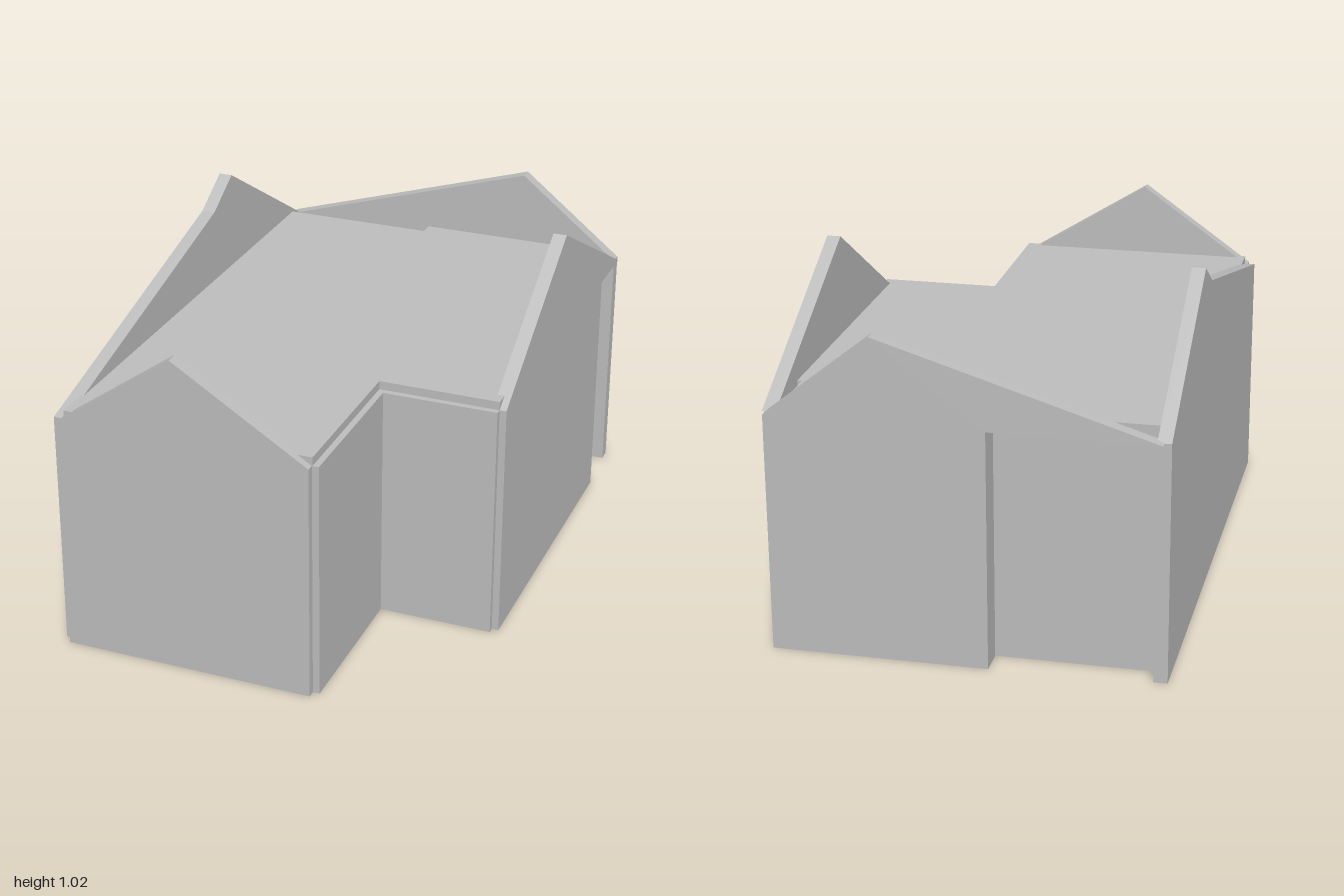
import * as THREE from 'three';

const EAVE = 0.705;

// Extrude a polygon given as [x, y] pairs
function extrude(points, depth) {
  const shape = new THREE.Shape(points.map(([x, y]) => new THREE.Vector2(x, y)));
  return new THREE.ExtrudeGeometry(shape, { depth, bevelEnabled: false });
}

export function createModel() {
  const model = new THREE.Group();
  const building = new THREE.Group();
  building.name = 'building';
  building.rotation.y = THREE.MathUtils.degToRad(25);
  model.add(building);

  const plaster = new THREE.MeshStandardMaterial({ color: 0xbcbcbc });
  plaster.name = 'grey plaster';

  function add(name, geometry) {
    const mesh = new THREE.Mesh(geometry, plaster);
    mesh.name = name;
    building.add(mesh);
  }
  // Wall running along x, profile in (x, y), from z0 to z1
  const wallAlongX = (name, profile, z0, z1) =>
    add(name, extrude(profile, z1 - z0).translate(0, 0, z0));
  // Wall running along z, profile in (z, y), from x0 to x1
  const wallAlongZ = (name, profile, x0, x1) =>
    add(name, extrude(profile, x1 - x0).rotateY(-Math.PI / 2).translate(x1, 0, 0));

  // Solid L-shaped core with flat roof and two recessed back corners
  const plan = [
    [-0.445, -0.72], [0.025, -0.72], [0.025, -0.785], [0.606, -0.785],
    [0.606, -0.59], [0.64, -0.59], [0.64, 0.374], [0.287, 0.374],
    [0.287, 0.865], [-0.445, 0.865],
  ];
  add('core', extrude(plan.map(([x, z]) => [x, -z]), 0.73).rotateX(-Math.PI / 2));

  // Gable walls rising above the roof
  wallAlongZ('leftGable',
    [[-0.783, 0], [0.865, 0], [0.865, EAVE], [-0.112, 0.95], [-0.242, 1.025], [-0.783, EAVE]],
    -0.476, -0.436);
  wallAlongX('frontGable',
    [[-0.455, 0], [0.285, 0], [0.285, EAVE], [-0.11, 0.95], [-0.455, EAVE]],
    0.848, 0.888);
  // These two stop short of the corner below the eaves
  wallAlongZ('rightGable',
    [[-0.586, 0], [0.374, 0], [0.374, EAVE], [-0.155, 1.025], [-0.778, EAVE], [-0.586, EAVE]],
    0.62, 0.66);
  wallAlongX('backGable',
    [[0.025, 0], [0.65, 0], [0.65, EAVE], [0.343, 0.95], [-0.455, EAVE], [0.025, EAVE]],
    -0.804, -0.764);

  // Low walls facing the notch
  wallAlongZ('notchSideWall', [[0.374, 0], [0.865, 0], [0.865, EAVE], [0.374, EAVE]], 0.27, 0.305);
  wallAlongX('notchFrontWall', [[0.287, 0], [0.64, 0], [0.64, EAVE], [0.287, EAVE]], 0.355, 0.392);

  return model;
}
